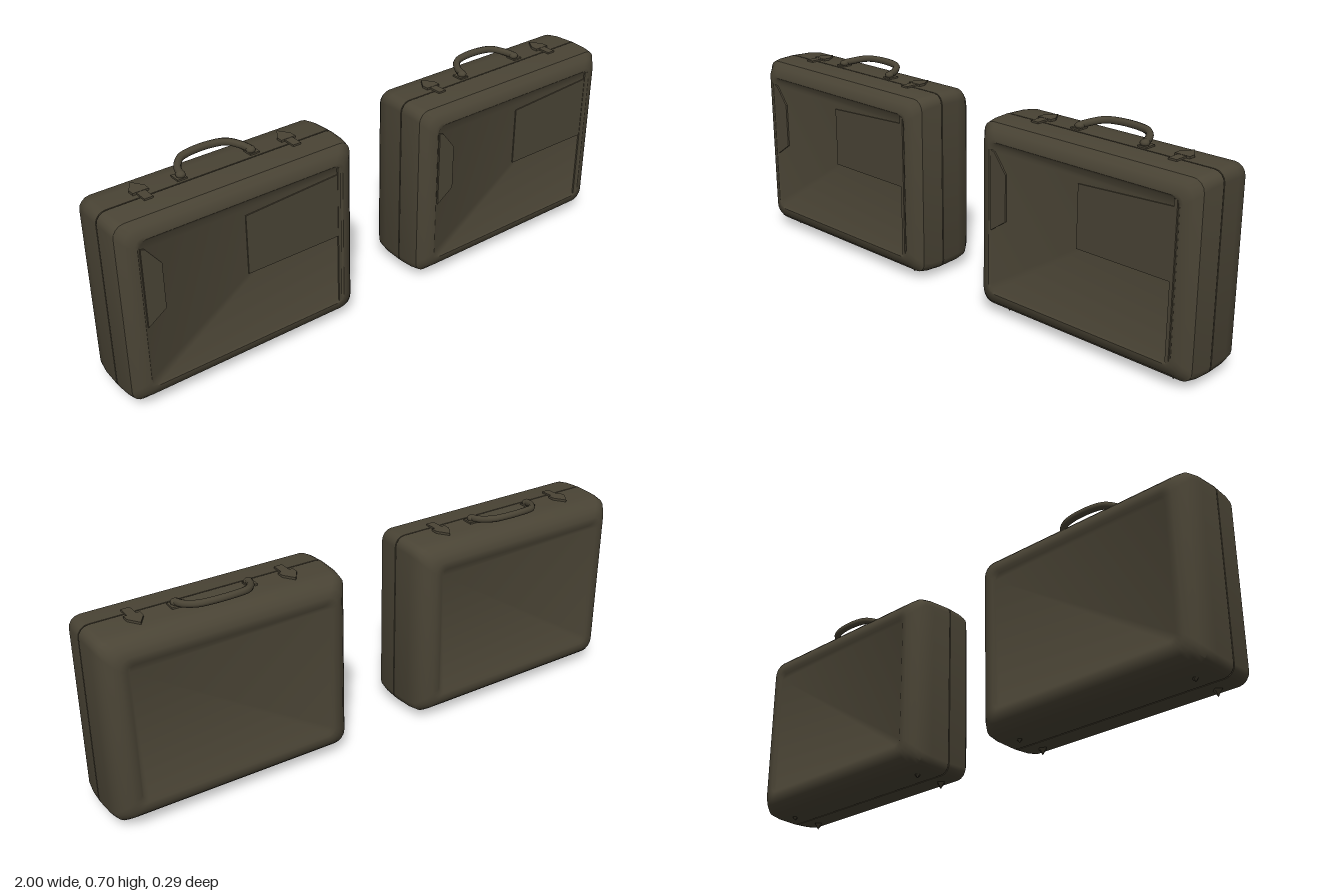
import * as THREE from 'three';
import { toCreasedNormals } from 'three/addons/utils/BufferGeometryUtils.js';

const HALF_W = 0.428, BOTTOM = 0.021, TOP = 0.667, MID_Y = (BOTTOM + TOP) / 2;
const HALF_H = (TOP - BOTTOM) / 2;

// Rounded rectangle outline, anticlockwise as seen from +z
function outline(inset, radius, segments = 4) {
  const points = [];
  const w = HALF_W - inset - radius, h = HALF_H - inset - radius;
  [[1, 1], [-1, 1], [-1, -1], [1, -1]].forEach(([sx, sy], quarter) => {
    for (let i = 0; i <= segments; i++) {
      const a = (quarter + i / segments) * Math.PI / 2;
      points.push([sx * w + Math.cos(a) * radius, MID_Y + sy * h + Math.sin(a) * radius]);
    }
  });
  return points;
}

// Closed shell through rings of [z, inset, corner radius], running from back to front
function loft(rings) {
  const positions = [], index = [];
  const n = outline(0, 0.04).length;
  for (const [z, inset, radius] of rings) {
    for (const [x, y] of outline(inset, radius)) positions.push(x, y, z);
  }
  for (let r = 0; r < rings.length - 1; r++) {
    for (let i = 0; i < n; i++) {
      const a = r * n + i, b = r * n + (i + 1) % n;
      index.push(a, b, b + n, a, b + n, a + n);
    }
  }
  const last = (rings.length - 1) * n;
  for (let i = 1; i < n - 1; i++) {
    index.push(0, i + 1, i, last, last + i, last + i + 1);
  }
  const geometry = new THREE.BufferGeometry();
  geometry.setAttribute('position', new THREE.Float32BufferAttribute(positions, 3));
  geometry.setIndex(index);
  return toCreasedNormals(geometry, 0.6);
}

// Flat plate drawn in the given corner points and thickened along z
function plate(points, depth) {
  const shape = new THREE.Shape(points.map(([x, y]) => new THREE.Vector2(x, y)));
  return new THREE.ExtrudeGeometry(shape, { depth, bevelEnabled: false });
}

export function createModel() {
  const leather = new THREE.MeshStandardMaterial({ color: 0x4a4435 });
  leather.name = 'dark olive leather';

  function add(parent, name, geometry, x = 0, y = 0, z = 0) {
    const mesh = new THREE.Mesh(geometry, leather);
    mesh.name = name;
    mesh.position.set(x, y, z);
    parent.add(mesh);
    return mesh;
  }

  function briefcase() {
    const group = new THREE.Group();

    // Two shells with an open seam and shallow recessed panels
    add(group, 'frontShell', loft([
      [0.02, 0, 0.035], [0.075, 0.002, 0.036], [0.106, 0.006, 0.038],
      [0.11, 0.011, 0.04], [0.128, 0.025, 0.04], [0.14, 0.05, 0.035],
      [0.141, 0.06, 0.03], [0.136, 0.068, 0.025],
    ]));
    add(group, 'backShell', loft([
      [-0.138, 0.085, 0.02], [-0.144, 0.075, 0.025], [-0.143, 0.055, 0.035],
      [-0.134, 0.034, 0.04], [-0.118, 0.019, 0.04], [-0.1, 0.007, 0.038],
      [-0.06, 0.002, 0.036], [0.016, 0, 0.035],
    ]));

    // Raised pocket, hinge strip and folded tab on the front
    add(group, 'frontPocket', plate(
      [[0, 0.345], [0.355, 0.345], [0.355, 0.575], [0, 0.555]], 0.004), 0, 0, 0.136);
    add(group, 'frontStrip', new THREE.BoxGeometry(0.012, 0.51, 0.007), 0.354, MID_Y, 0.138);
    add(group, 'frontTab', plate(
      [[-0.36, 0.58], [-0.345, 0.575], [-0.295, 0.51], [-0.295, 0.35], [-0.36, 0.305]],
      0.006), 0, 0, 0.136);

    // Carrying handle, folded toward the back
    const path = new THREE.CatmullRomCurve3([
      [-0.126, 0.679, -0.012], [-0.116, 0.682, -0.045], [-0.085, 0.689, -0.082],
      [-0.04, 0.692, -0.094], [0.04, 0.692, -0.094], [0.085, 0.689, -0.082],
      [0.116, 0.682, -0.045], [0.126, 0.679, -0.012],
    ].map((p) => new THREE.Vector3(...p)));
    add(group, 'handleGrip', new THREE.TubeGeometry(path, 32, 0.0125, 8));

    for (const side of [-1, 1]) {
      // Handle mounts
      const mount = add(group, 'handleMount',
        new THREE.SphereGeometry(0.016, 10, 8), side * 0.126, 0.677, -0.012);
      mount.scale.set(1, 0.75, 1);
      add(group, 'handlePlate', new THREE.BoxGeometry(0.034, 0.008, 0.04),
        side * 0.13, 0.668, -0.014);

      // Pointed latch with a clasp bridging the seam
      const latch = add(group, 'latch', plate(
        [[-0.027, 0.005], [0.027, 0.005], [0.027, 0.03], [0, 0.07], [-0.027, 0.03]], 0.008),
        side * 0.265, 0.674, 0);
      latch.rotation.x = -Math.PI / 2;
      latch.position.y = 0.666;
      add(group, 'latchClasp', new THREE.BoxGeometry(0.03, 0.006, 0.06),
        side * 0.265, 0.67, 0.012);

      // Small pointed feet under both shells
      const frontFoot = add(group, 'frontFoot', new THREE.ConeGeometry(0.022, 0.03, 4),
        side * 0.335, 0.015, 0.072);
      frontFoot.rotation.x = Math.PI;
      const backFoot = add(group, 'backFoot', new THREE.ConeGeometry(0.018, 0.02, 4),
        side * 0.335, 0.02, -0.04);
      backFoot.rotation.x = Math.PI;
    }
    return group;
  }

  // Matching pair
  const model = new THREE.Group();
  model.name = 'briefcasePair';
  for (const side of [-1, 1]) {
    const item = briefcase();
    item.name = side < 0 ? 'rightBriefcase' : 'leftBriefcase';
    item.position.x = side * 0.57;
    model.add(item);
  }
  return model;
}
